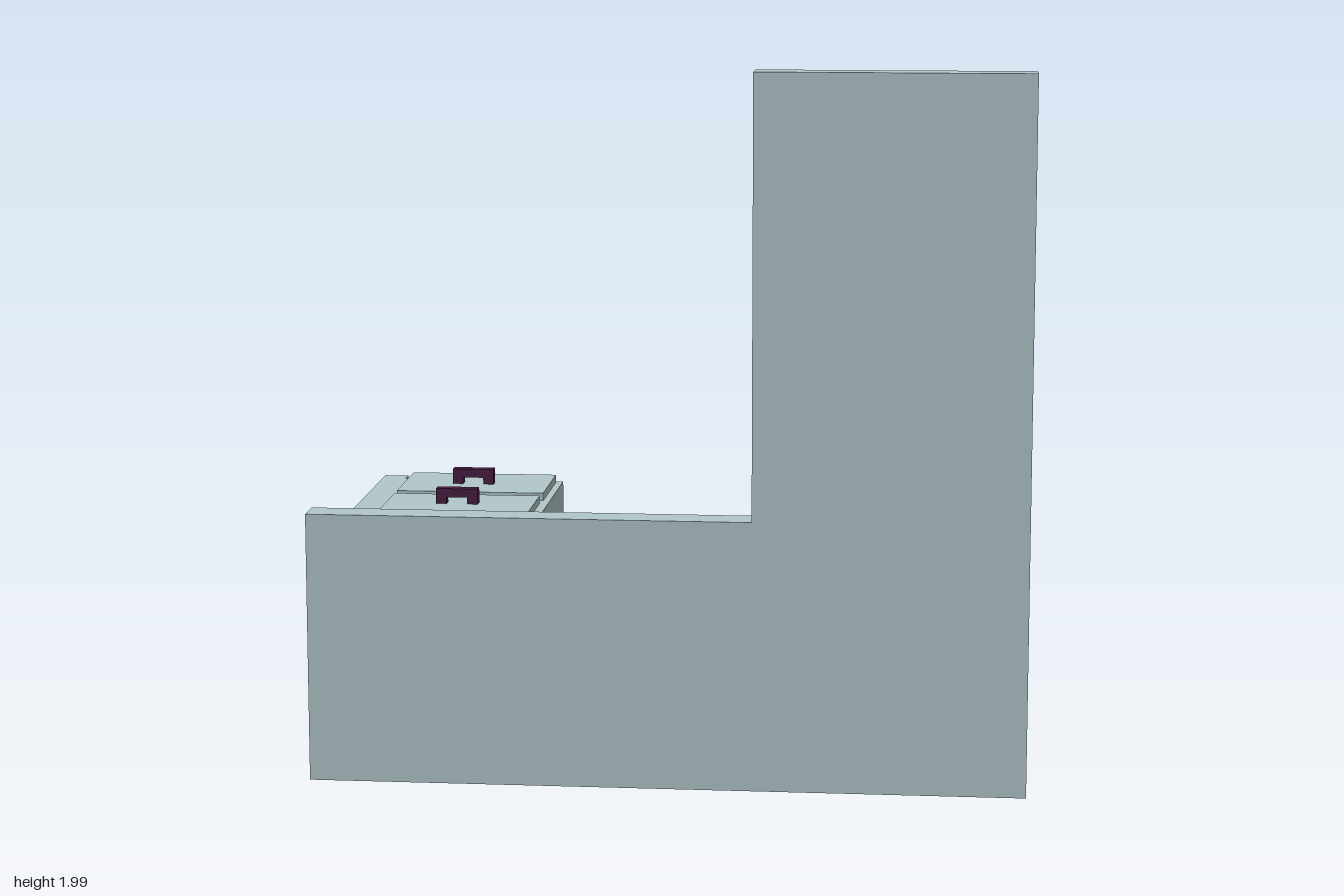
import * as THREE from 'three';

const paleTeal = new THREE.MeshStandardMaterial({ color: 0xb1c6c8 });
paleTeal.name = 'paleTeal';
const darkPlum = new THREE.MeshStandardMaterial({ color: 0x481c43 });
darkPlum.name = 'darkPlum';

// Box given by its extents along each axis
function box(name, [x0, x1], [y0, y1], [z0, z1]) {
  const mesh = new THREE.Mesh(new THREE.BoxGeometry(x1 - x0, y1 - y0, z1 - z0), paleTeal);
  mesh.position.set((x0 + x1) / 2, (y0 + y1) / 2, (z0 + z1) / 2);
  mesh.name = name;
  return mesh;
}

// Flat outline in x/y, extruded along z
function plate(name, points, z0, z1, material) {
  const shape = new THREE.Shape(points.map(([x, y]) => new THREE.Vector2(x, y)));
  const geometry = new THREE.ExtrudeGeometry(shape, { depth: z1 - z0, bevelEnabled: false });
  const mesh = new THREE.Mesh(geometry, material);
  mesh.position.z = z0;
  mesh.name = name;
  return mesh;
}

export function createModel() {
  const desk = new THREE.Group();
  desk.name = 'cornerDesk';

  // L-shaped desktop, standing on its long edge
  const top = [[-1, 0], [1, 0], [1, 1.99], [0.24, 1.99], [0.24, 0.76], [-1, 0.76]];
  desk.add(plate('desktop', top, 0.33, 0.425, paleTeal));

  // Free legs at the short wing
  for (const [x0, x1] of [[0.29, 0.355], [0.88, 0.945]]) {
    desk.add(box('leg', [x0, x1], [1.85, 1.915], [-0.425, 0.33]));
  }

  // Drawer cabinet, with the ends of its two legs
  desk.add(box('cabinet', [-0.93, -0.383], [0.05, 0.71], [-0.376, 0.33]));
  for (const [y0, y1] of [[0.05, 0.122], [0.647, 0.71]]) {
    desk.add(box('cabinetFoot', [-0.93, -0.86], [y0, y1], [-0.425, -0.376]));
  }

  // Drawer fronts with arched handles
  const arch = [[-0.06, 0], [-0.03, 0], [-0.03, 0.02], [0.03, 0.02],
    [0.03, 0], [0.06, 0], [0.06, 0.045], [-0.06, 0.045]];
  const drawers = [
    { x: [-0.833, -0.408], z: [-0.04, 0.242], handle: 0.087 },
    { x: [-0.833, -0.403], z: [-0.365, -0.078], handle: -0.215 },
  ];
  for (const { x, z, handle } of drawers) {
    desk.add(box('drawerFront', x, [0.71, 0.732], z));
    const pull = plate('drawerHandle', arch, handle - 0.016, handle + 0.016, darkPlum);
    pull.position.x = -0.627;
    pull.position.y = 0.731;
    desk.add(pull);
  }
  return desk;
}
